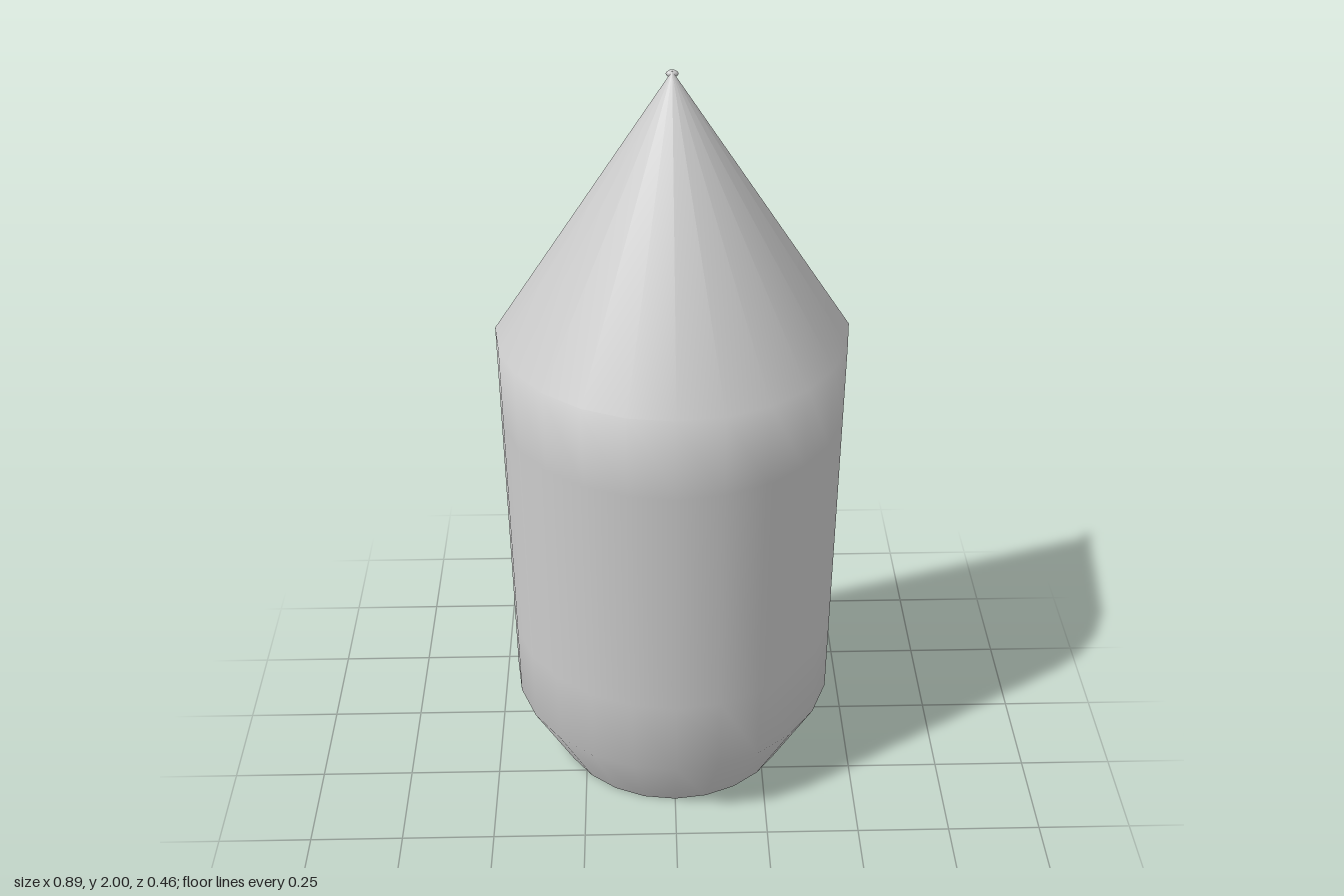
import * as THREE from 'three';

const AXIS_Z = -0.215; // plane of the open back
const SEGMENTS = 12;

// wall profiles as [radius, height]
const outer = [[0.333, 0], [0.445, 0.222], [0.445, 0.444], [0.445, 1.111], [0.445, 1.333], [0, 2]];
const inner = [[0.311, 0], [0.425, 0.226], [0.425, 0.444], [0.425, 1.111], [0.425, 1.327], [0, 1.964]];

export function createModel() {
  const group = new THREE.Group();
  const material = new THREE.MeshStandardMaterial({ color: 0xcccccc });

  const add = (name, geometry, y = 0, z = AXIS_Z) => {
    const mesh = new THREE.Mesh(geometry, material);
    mesh.name = name;
    mesh.position.set(0, y, z);
    group.add(mesh);
    return mesh;
  };

  // half-turn surface bulging towards the front
  const halfLathe = (profile) => new THREE.LatheGeometry(
    profile.map(([r, y]) => new THREE.Vector2(r, y)), SEGMENTS, -Math.PI / 2, Math.PI);

  add('outerShell', halfLathe(outer));
  add('innerShell', halfLathe([...inner].reverse()));
  add('bottomRim', halfLathe([inner[0], outer[0]]));

  // flat cut edge of the wall, facing the back
  const mirror = (profile) => profile.slice(0, -1).reverse().map(([r, y]) => [-r, y]);
  const outline = [...outer, ...mirror(outer), ...[...inner, ...mirror(inner)].reverse()];
  const edge = new THREE.Shape(outline.map(([x, y]) => new THREE.Vector2(x, y)));
  add('backEdge', new THREE.ShapeGeometry(edge).rotateY(Math.PI));

  // small knob behind the tip
  add('tipKnob', new THREE.SphereGeometry(0.015, 8, 6).scale(1, 0.6, 0.7), 1.991, -0.221);

  return group;
}
